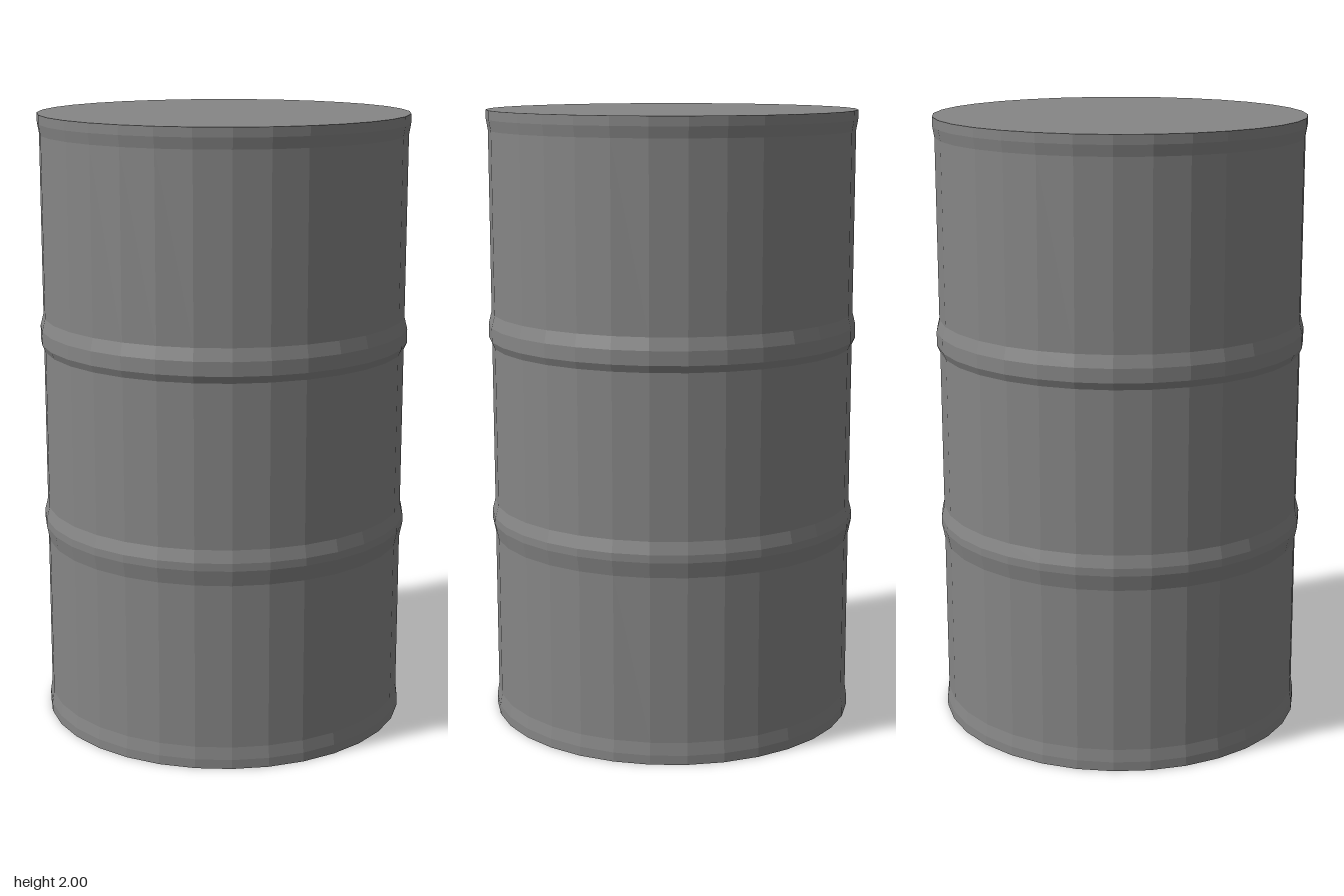
import * as THREE from 'three';

const SIDES = 32;
const BODY = 0.592, RIM = 0.598, RIB = 0.602;

export function createModel() {
  const group = new THREE.Group();
  group.name = 'drum';
  const material = new THREE.MeshStandardMaterial({ color: 0x868686, flatShading: true });

  const add = (name, geometry) => {
    const mesh = new THREE.Mesh(geometry, material);
    mesh.name = name;
    group.add(mesh);
    return mesh;
  };

  // Shell with end rims and two rolled ribs, as [radius, height] from the ground up
  const profile = [
    [RIM, 0], [RIM, 0.03], [BODY, 0.07],
    [BODY, 0.605], [RIB, 0.655], [RIB, 0.68], [BODY, 0.72],
    [BODY, 1.242], [RIB, 1.265], [RIB, 1.31], [BODY, 1.35],
    [BODY, 1.935], [RIM, 1.97], [RIM, 2],
  ].map(([r, y]) => new THREE.Vector2(r, y));
  add('shell', new THREE.LatheGeometry(profile, SIDES));

  // Flat ends
  const disc = new THREE.CircleGeometry(RIM, SIDES);
  const lid = add('lid', disc);
  lid.rotation.x = -Math.PI / 2;
  lid.position.y = 2;
  add('base', disc).rotation.x = Math.PI / 2;

  // Facets sit slightly turned from the axes
  group.rotation.y = THREE.MathUtils.degToRad(-2);
  return group;
}
